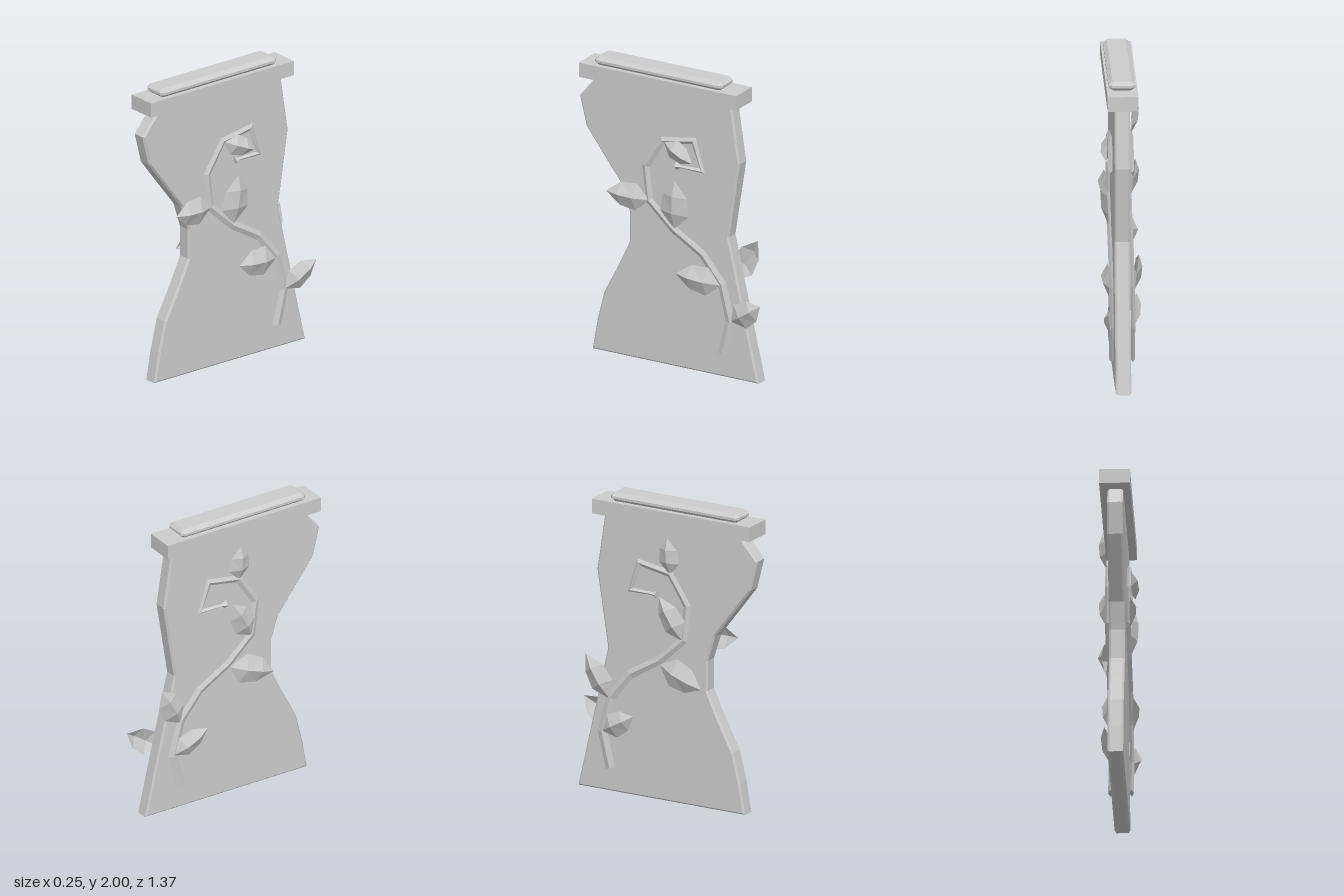
import * as THREE from 'three';

export function createModel() {
  const root = new THREE.Group();
  const stone = new THREE.MeshStandardMaterial({ color: 0xcccccc, flatShading: true, side: THREE.DoubleSide });
  stone.name = 'paleStone';

  const add = (name, geometry, parent = root) => {
    const mesh = new THREE.Mesh(geometry, stone);
    mesh.name = name;
    parent.add(mesh);
    return mesh;
  };

  // Extrude a closed outline with a one-step bevel that stays inside it
  const bevelled = (points, height, thickness, size) => {
    const shape = new THREE.Shape(points.map(([a, b]) => new THREE.Vector2(a, b)));
    const geometry = new THREE.ExtrudeGeometry(shape, {
      depth: height - 2 * thickness, bevelEnabled: true, bevelSegments: 1,
      bevelThickness: thickness, bevelSize: size, bevelOffset: -size,
    });
    return geometry.translate(0, 0, thickness - height / 2);
  };

  // Waisted slab, outline given as [z, y]
  const outline = [
    [0.59, 0], [0.555, 0.2], [0.505, 0.4], [0.39, 0.62], [0.315, 0.78], [0.315, 0.98],
    [0.37, 1.15], [0.53, 1.36], [0.635, 1.5], [0.685, 1.7], [0.56, 1.85],
    [-0.44, 1.85], [-0.5, 1.46], [-0.42, 0.95], [-0.64, 0],
  ].map(([z, y]) => [-z, y]);
  add('body', bevelled(outline, 0.1, 0.012, 0.012).rotateY(Math.PI / 2));

  // Flat shelf and bevelled cap on top
  add('shelf', new THREE.BoxGeometry(0.196, 0.097, 1.165)).position.set(-0.002, 1.893, 0.077);
  const w = 0.085, l = 0.472, c = 0.022;
  const capOutline = [
    [w, c - l], [w, l - c], [w - c, l], [c - w, l], [-w, l - c], [-w, c - l], [c - w, -l], [w - c, -l],
  ];
  add('cap', bevelled(capOutline, 0.06, 0.022, 0.025).rotateX(-Math.PI / 2)).position.set(-0.001, 1.97, 0.087);

  // Triangles from point rings; side -1 mirrors across x and flips the winding
  const faces = (triangles, side) => {
    const data = [];
    for (const t of triangles) {
      const corners = side < 0 ? [t[0], t[2], t[1]] : t;
      for (const [x, y, z] of corners) data.push(x * side, y, z);
    }
    const geometry = new THREE.BufferGeometry();
    geometry.setAttribute('position', new THREE.Float32BufferAttribute(data, 3));
    geometry.computeVertexNormals();
    return geometry;
  };

  // Stem: diamond section swept with mitred corners; [z, y, half width]
  const stemPath = [
    [-0.387, 0.16, 0.036], [-0.445, 0.395, 0.034], [-0.385, 0.634, 0.032], [-0.24, 0.81, 0.03],
    [-0.027, 0.935, 0.028], [0.154, 1.1, 0.027], [0.18, 1.33, 0.026], [0.053, 1.525, 0.024],
    [-0.175, 1.565, 0.021], [-0.24, 1.372, 0.014], [-0.075, 1.372, 0.01], [-0.045, 1.37, 0.028],
  ];
  const stem = (side) => {
    const direction = (i) => {
      const [a, b] = [stemPath[i], stemPath[i + 1]];
      return new THREE.Vector2(b[0] - a[0], b[1] - a[1]).normalize();
    };
    const last = stemPath.length - 1;
    const rings = stemPath.map(([z, y, half], i) => {
      const before = direction(Math.max(i - 1, 0));
      const after = direction(Math.min(i, last - 1));
      const mid = before.clone().add(after).normalize();
      const m = half / Math.max(mid.dot(after), 0.5);
      const flare = i === last ? 0.01 : 0;
      return [
        [0.068, y + mid.x * m, z - mid.y * m], [0.082 + flare, y, z],
        [0.068, y - mid.x * m, z + mid.y * m], [0.054, y, z],
      ];
    });
    const triangles = [];
    for (let i = 0; i < last; i++) {
      for (let k = 0; k < 4; k++) {
        const n = (k + 1) % 4;
        const [a, b, d, e] = [rings[i][k], rings[i][n], rings[i + 1][n], rings[i + 1][k]];
        triangles.push([a, d, b], [a, e, d]);
      }
    }
    const [s, e] = [rings[0], rings[last]];
    triangles.push([s[0], s[1], s[2]], [s[0], s[2], s[3]], [e[0], e[2], e[1]], [e[0], e[3], e[2]]);
    return faces(triangles, side);
  };

  // Leaf: folded blade with a raised midrib from base to tip
  const leaf = ([z0, y0, z1, y1, half], side) => {
    const dz = z1 - z0, dy = y1 - y0, len = Math.hypot(dz, dy);
    const at = (t, off, x) => [x, y0 + dy * t + (dz / len) * off, z0 + dz * t - (dy / len) * off];
    const base = at(0, 0, 0.072), tip = at(1, 0, 0.1);
    const ribA = at(0.35, 0, 0.118), ribB = at(0.7, 0, 0.125);
    const triangles = [];
    for (const s of [1, -1]) {
      const edgeA = at(0.32, s * half, 0.078), edgeB = at(0.68, s * half * 0.85, 0.085);
      const half1 = [[base, ribA, edgeA], [ribA, ribB, edgeB], [ribA, edgeB, edgeA], [ribB, tip, edgeB]];
      for (const [a, b, d] of half1) triangles.push(s > 0 ? [a, b, d] : [a, d, b]);
    }
    return faces(triangles, side);
  };

  // Leaves on each face: [base z, base y, tip z, tip y, half width]
  const vines = [
    { name: 'rightVine', side: 1, leaves: [
      [0.15, 1.1, 0.456, 1.117, 0.093], [-0.03, 0.94, -0.053, 1.28, 0.105],
      [-0.38, 0.625, -0.058, 0.655, 0.098], [-0.45, 0.395, -0.685, 0.55, 0.085],
      [0.045, 1.52, -0.18, 1.42, 0.07],
    ] },
    { name: 'leftVine', side: -1, leaves: [
      [0.053, 1.52, 0.05, 1.77, 0.075], [0.15, 1.09, -0.01, 1.37, 0.085],
      [-0.02, 0.91, 0.3, 0.8, 0.1], [-0.39, 0.62, -0.55, 0.905, 0.085],
      [-0.45, 0.4, -0.2, 0.54, 0.08],
    ] },
  ];
  for (const { name, side, leaves } of vines) {
    const vine = new THREE.Group();
    vine.name = name;
    add('stem', stem(side), vine);
    for (const spec of leaves) add('leaf', leaf(spec, side), vine);
    root.add(vine);
  }
  return root;
}
